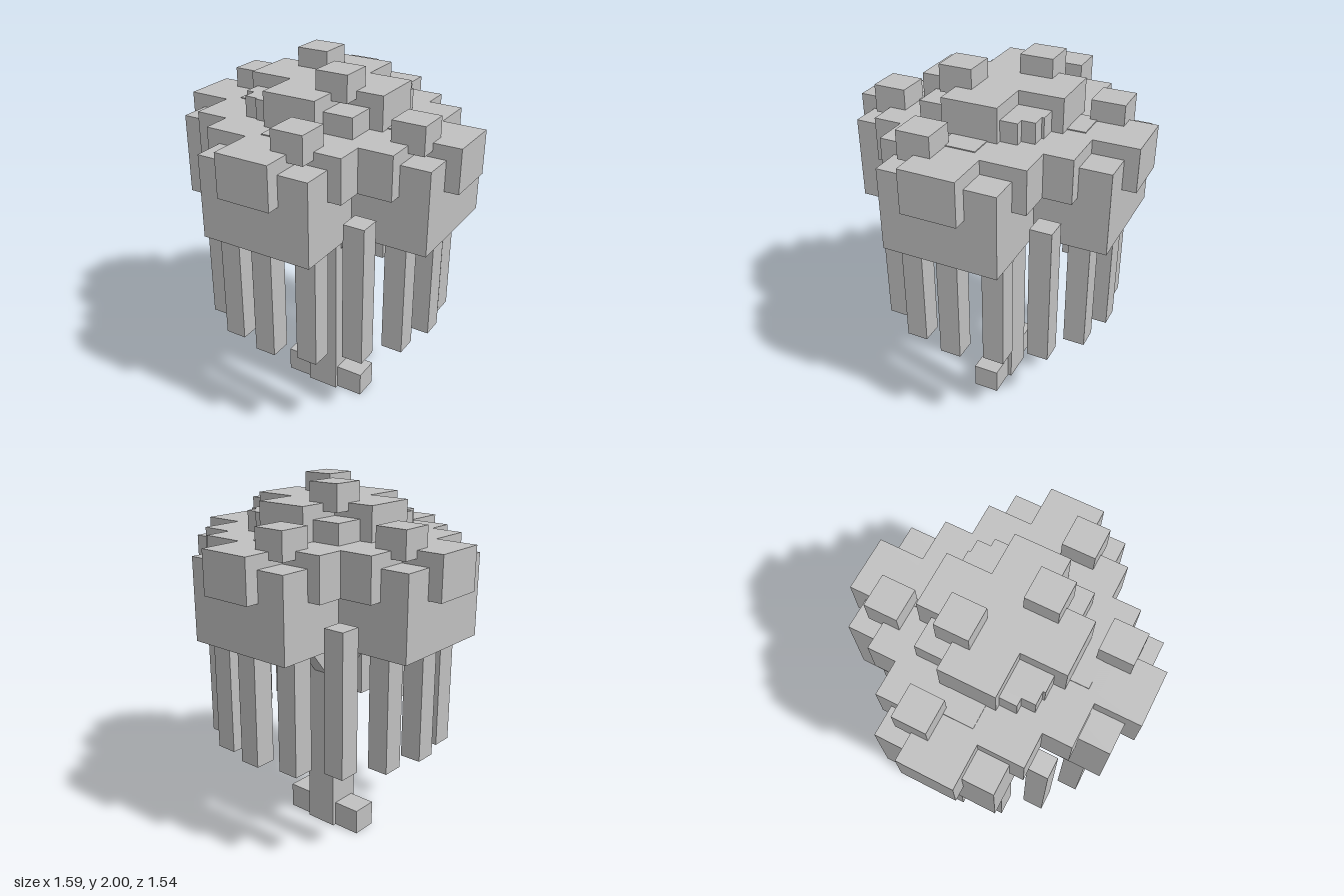
import * as THREE from 'three';

export function createModel() {
  const model = new THREE.Group();
  const grey = new THREE.MeshStandardMaterial({ color: 0xc0c0c0 });
  grey.name = 'plain grey';

  // Box from its extents on each axis
  function block(name, [x0, x1], [y0, y1], [z0, z1]) {
    const mesh = new THREE.Mesh(new THREE.BoxGeometry(x1 - x0, y1 - y0, z1 - z0), grey);
    mesh.position.set((x0 + x1) / 2, (y0 + y1) / 2, (z0 + z1) / 2);
    mesh.name = name;
    model.add(mesh);
    return mesh;
  }
  const slab = (name, hx, y, hz) => block(name, [-hx, hx], y, [-hz, hz]);

  // Trunk and the root bar across its foot
  slab('trunk', 0.093, [0, 1.3], 0.093);
  slab('roots', 0.25, [0, 0.143], 0.072);

  // Four sloping branches under the crown
  for (let i = 0; i < 4; i++) {
    const arm = new THREE.Group();
    const branch = new THREE.Mesh(new THREE.BoxGeometry(0.085, 0.5, 0.085), grey);
    branch.position.set(0.155, 1.09, 0);
    branch.rotation.z = -0.67;
    branch.name = 'branch';
    arm.add(branch);
    arm.rotation.y = i * Math.PI / 2;
    arm.name = 'branchArm';
    model.add(arm);
  }

  // Lower crown: a cross of two thick blocks
  const low = [1.208, 1.648];
  slab('lowerCrown', 0.722, low, 0.31);
  slab('lowerCrown', 0.31, low, 0.697);

  // Middle crown: stepped diamond
  const mid = [1.488, 1.72];
  for (const [hx, hz] of [[0.797, 0.147], [0.565, 0.383], [0.383, 0.533], [0.147, 0.77]]) {
    slab('middleCrown', hx, mid, hz);
  }
  const ridge = [1.6, 1.725];
  slab('crownRidge', 0.508, ridge, 0.095);
  slab('crownRidge', 0.095, ridge, 0.48);

  // Upper crown: square tier topped by a cross
  slab('upperTier', 0.31, [1.65, 1.828], 0.31);
  slab('topCrown', 0.383, [1.68, 1.9], 0.147);
  slab('topCrown', 0.147, [1.68, 1.9], 0.383);

  // Leaf tufts, repeated on the opposite side: x, z, bottom, top
  const tufts = [
    [0.148, 0.148, 1.86, 2.0], [0.562, 0.148, 1.68, 1.828], [0.148, 0.533, 1.68, 1.828],
    [0.265, -0.15, 1.68, 1.828], [0.15, -0.235, 1.68, 1.828],
  ];
  const r = 0.088;
  for (const [x, z, y0, y1] of tufts) {
    for (const s of [1, -1]) {
      block('leafTuft', [s * x - r, s * x + r], [y0, y1], [s * z - r, s * z + r]);
    }
  }

  // Ring of sixteen hanging strands
  const w = 0.058;
  for (let i = 0; i < 16; i++) {
    const a = i * Math.PI / 8;
    const x = 0.593 * Math.cos(a), z = 0.593 * Math.sin(a);
    block('hangingStrand', [x - w, x + w], [0.588, 1.36], [z - w, z + w]);
  }
  return model;
}
